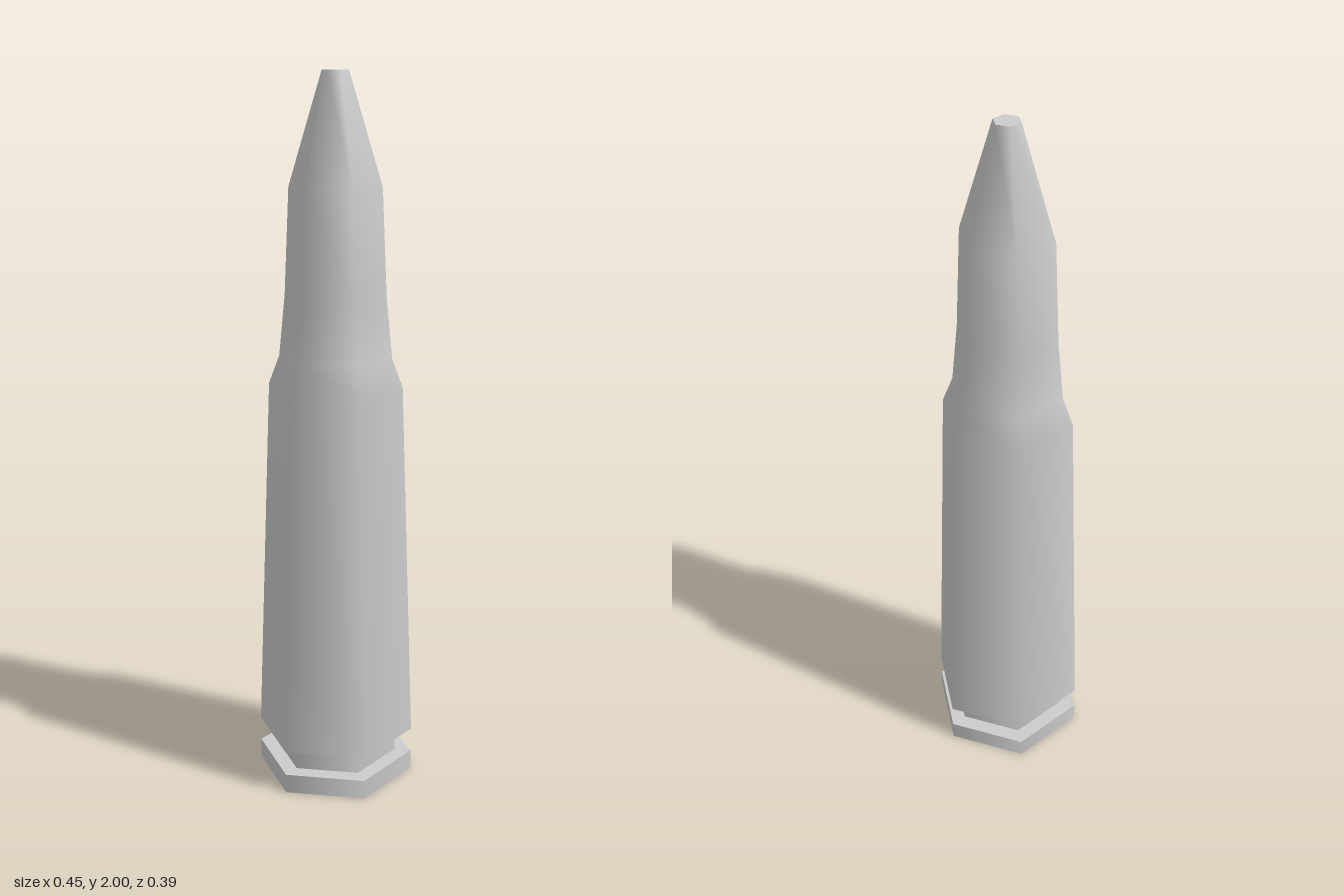
import * as THREE from 'three';
import { mergeGeometries } from 'three/addons/utils/BufferGeometryUtils.js';

const SIDES = 6;
const material = new THREE.MeshStandardMaterial({ color: 0xcccccc });

// Six-sided turned part; each profile strip of [radius, y] is smooth, with a sharp edge between strips
function turned(name, strips) {
  const parts = strips.map(strip => new THREE.LatheGeometry(
    strip.map(([r, y]) => new THREE.Vector2(r, y)), SIDES, Math.PI / 2));
  const mesh = new THREE.Mesh(mergeGeometries(parts), material);
  mesh.name = name;
  return mesh;
}

export function createModel() {
  const group = new THREE.Group();
  group.name = 'cartridge';

  // Base rim: underside, wall and upper ledge
  group.add(turned('rim', [
    [[0, 0], [0.226, 0]],
    [[0.226, 0], [0.226, 0.056]],
    [[0.226, 0.056], [0.178, 0.056]],
  ]));

  // Recessed groove above the rim
  group.add(turned('extractorGroove', [
    [[0.178, 0.056], [0.178, 0.127]],
  ]));

  // Tapered case with shoulder and neck, running smoothly into the pointed tip
  group.add(turned('caseAndTip', [
    [[0.178, 0.127], [0.226, 0.127]],
    [[0.226, 0.127], [0.187, 1.16], [0.157, 1.24], [0.14, 1.41], [0.127, 1.7], [0.036, 2]],
    [[0.036, 2], [0, 2]],
  ]));

  return group;
}
